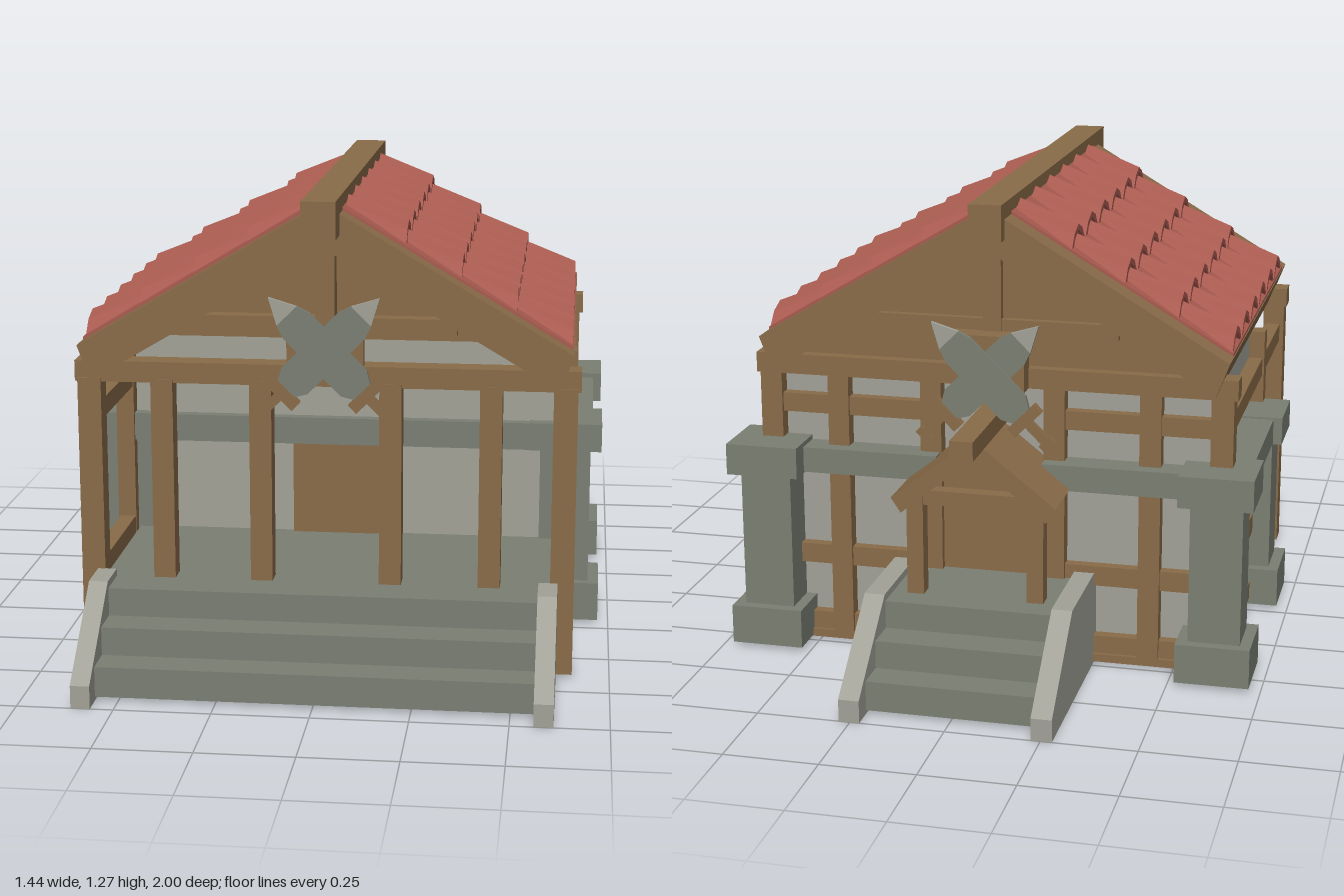
import * as THREE from 'three';

const mat = (name, color) => Object.assign(new THREE.MeshStandardMaterial({ color }), { name });
const wood = mat('wood', 0x8a6c49);
const stone = mat('stone', 0x7b7f73);
const plaster = mat('plaster', 0xa2a298);
const tileRed = mat('tileRed', 0xa95b50);

export function createModel() {
  const model = new THREE.Group();
  model.name = 'timberHall';

  const add = (name, geometry, material, parent = model) => {
    const mesh = new THREE.Mesh(geometry, material);
    mesh.name = name;
    parent.add(mesh);
    return mesh;
  };
  // Box given by its extents on each axis
  const box = (name, m, x0, x1, y0, y1, z0, z1, parent = model) => {
    const g = new THREE.BoxGeometry(x1 - x0, y1 - y0, z1 - z0);
    g.translate((x0 + x1) / 2, (y0 + y1) / 2, (z0 + z1) / 2);
    return add(name, g, m, parent);
  };
  // The same box on the left and on the right
  const pair = (name, m, x0, x1, ...rest) => {
    box(name + 'Left', m, x0, x1, ...rest);
    box(name + 'Right', m, -x1, -x0, ...rest);
  };
  const extrude = (pts, depth) => new THREE.ExtrudeGeometry(
    new THREE.Shape(pts.map(p => new THREE.Vector2(...p))), { depth, bevelEnabled: false });
  const prism = (name, m, pts, z0, z1, parent) => {
    const g = extrude(pts, z1 - z0);
    g.translate(0, 0, z0);
    return add(name, g, m, parent);
  };

  // Floors and foundations
  box('porchFloor', stone, -0.59, 0.59, 0.19, 0.24, 0.18, 0.66);
  box('porchFooting', stone, -0.6, 0.6, 0.008, 0.025, 0.13, 0.7);
  box('roomUnderside', wood, -0.6, 0.6, 0.008, 0.03, -0.49, 0.13);

  // Stairs with sloping side walls, front and back
  const stairs = (name, halfWidth, wall, start, dir) => {
    [[0.94, 0.09], [0.85, 0.165], [0.755, 0.24]].forEach(([z, y], i) => {
      const a = dir * start, b = dir * z;
      box(`${name}Step${i + 1}`, stone, -halfWidth, halfWidth, i ? y - 0.075 : 0.01, y, Math.min(a, b), Math.max(a, b));
    });
    const side = [[start, 0], [1, 0], [1, 0.06], [0.76, 0.26], [start, 0.26]].map(([z, y]) => [z * dir, y]);
    for (const x of [halfWidth + wall, -halfWidth]) {
      const g = extrude(side, wall);
      g.rotateY(-Math.PI / 2);
      g.translate(x, 0, 0);
      add(name + 'SideWall', g, plaster);
    }
  };
  stairs('frontStairs', 0.56, 0.05, 0.65, 1);
  stairs('backStairs', 0.225, 0.055, 0.45, -1);

  // Plastered room
  box('roomFrontWall', plaster, -0.6, 0.6, 0.02, 0.8, 0.15, 0.18);
  box('roomBackWall', plaster, -0.6, 0.6, 0.02, 0.8, -0.45, -0.42);
  pair('roomSideWall', plaster, 0.57, 0.6, 0.02, 0.79, -0.43, 0.17);
  const gable = [[-0.6, 0.8], [0.6, 0.8], [0, 1.15]];
  prism('innerGable', wood, gable, 0.15, 0.18);
  prism('backGable', wood, gable, -0.46, -0.42);
  box('frontDoor', wood, -0.145, 0.145, 0.24, 0.51, 0.175, 0.195);
  box('backDoor', wood, -0.145, 0.145, 0.24, 0.56, -0.47, -0.44);

  // Posts
  for (const x of [0.17, 0.43]) {
    pair('porchPost', wood, x - 0.029, x + 0.029, 0.2, 0.78, 0.59, 0.648);
    pair('backPost', wood, x - 0.029, x + 0.029, 0.02, 0.78, -0.49, -0.43);
  }
  pair('frontCornerPost', wood, 0.59, 0.652, 0.01, 0.78, 0.59, 0.652);
  pair('backCornerPost', wood, 0.59, 0.65, 0.01, 0.78, -0.49, -0.43);
  pair('middlePost', wood, 0.595, 0.645, 0.02, 0.79, 0.175, 0.225);

  // Tie beams and side rails
  box('frontTieBeam', wood, -0.66, 0.66, 0.77, 0.825, 0.58, 0.645);
  box('backTieBeam', wood, -0.66, 0.66, 0.77, 0.825, -0.49, -0.43);
  for (const [y0, y1] of [[0.03, 0.08], [0.225, 0.28], [0.66, 0.712]]) {
    pair('sideRail', wood, 0.597, 0.64, y0, y1, -0.48, 0.62);
    pair('backRail', wood, 0.145, 0.62, y0, y1, -0.48, -0.44);
  }

  // Gable trusses
  for (const z of [0.6, -0.48]) {
    box('collarBeam', wood, -0.34, 0.34, 0.91, 0.952, z, z + 0.04);
    box('kingPost', wood, -0.025, 0.025, 0.82, 1.16, z - 0.005, z + 0.045);
  }

  // Stone pillars joined by a belt course
  for (const [z0, z1, top] of [[0.02, 0.215, 0.58], [-0.59, -0.4, 0.588]]) {
    pair('pillarBase', stone, 0.52, 0.72, 0.012, 0.12, z0, z1);
    pair('pillarShaft', stone, 0.55, 0.69, 0.12, 0.505, z0 + 0.03, z1 - 0.025);
    pair('pillarCap', stone, 0.52, 0.72, 0.502, top, z0, z1);
  }
  pair('sideBelt', stone, 0.58, 0.695, 0.505, 0.575, -0.42, 0.05);
  box('frontBelt', stone, -0.58, 0.58, 0.502, 0.578, 0.12, 0.21);
  pair('backBelt', stone, 0.145, 0.58, 0.505, 0.575, -0.53, -0.43);

  // Roof slab, red underlay and ridge beam
  prism('roofSlab', wood, [[0, 1.255], [-0.64, 0.877], [-0.605, 0.785], [0, 1.142], [0.605, 0.785], [0.64, 0.877]], -0.52, 0.7);
  prism('roofUnderlay', tileRed, [[0, 1.263], [-0.638, 0.886], [-0.638, 0.878], [0, 1.25], [0.638, 0.878], [0.638, 0.886]], -0.445, 0.63);
  box('ridgeBeam', wood, -0.044, 0.044, 1.175, 1.272, -0.557, 0.788);

  // Arched tile: a bent strip, narrowing and sinking toward its upper end
  const arch = [[-0.088, 0], [-0.05, 0.042], [0, 0.06], [0.05, 0.042], [0.088, 0]];
  const inner = arch.map(([u, v]) => [u * 0.85, v - 0.016]).reverse();
  const tile = extrude([...arch, ...inner], 1);
  const p = tile.attributes.position;
  for (let i = 0; i < p.count; i++) {
    const u = p.getX(i), v = p.getY(i), f = p.getZ(i);
    p.setXYZ(i, -0.158 * f, v + (0.59 * 0.158 - 0.03) * f, u * (1 - 0.2 * f));
  }
  tile.computeVertexNormals();
  for (const s of [1, -1]) {
    for (let row = 0; row < 4; row++) {
      for (let col = 0; col < 6; col++) {
        const x = 0.635 - 0.143 * row;
        const t = add('roofTile', tile, tileRed);
        t.position.set(s * x, 1.255 - 0.59 * x, 0.527 - 0.177 * col);
        if (s < 0) t.rotation.y = Math.PI;
      }
    }
  }

  // Small canopy over the back door
  prism('canopyRoof', wood, [[0, 0.685], [-0.222, 0.51], [-0.195, 0.47], [0, 0.63], [0.195, 0.47], [0.222, 0.51]], -0.7, -0.46);
  box('canopyRidge', wood, -0.031, 0.031, 0.66, 0.712, -0.81, -0.45);
  pair('canopyPost', wood, 0.14, 0.185, 0.24, 0.53, -0.682, -0.638);
  box('canopyBeam', wood, -0.17, 0.17, 0.49, 0.53, -0.68, -0.64);

  // Crossed swords on each gable
  const swords = (name, y, z) => {
    const group = new THREE.Group();
    group.name = name;
    group.position.set(0, y, z);
    for (const s of [1, -1]) {
      const sword = new THREE.Group();
      sword.name = 'sword';
      sword.rotation.z = s * Math.PI / 4;
      sword.position.z = s * 0.007;
      prism('blade', stone, [[-0.03, -0.14], [0.03, -0.14], [0.048, -0.11], [0.048, 0.1], [0.036, 0.135], [-0.036, 0.135], [-0.048, 0.1], [-0.048, -0.11]], -0.006, 0.006, sword);
      prism('bladeTip', plaster, [[-0.036, 0.135], [0.036, 0.135], [0, 0.202]], -0.006, 0.006, sword);
      box('guard', wood, -0.05, 0.05, -0.17, -0.14, -0.013, 0.013, sword);
      box('grip', wood, -0.012, 0.012, -0.235, -0.17, -0.01, 0.01, sword);
      box('pommel', wood, -0.02, 0.02, -0.25, -0.23, -0.013, 0.013, sword);
      group.add(sword);
    }
    model.add(group);
  };
  swords('frontSwords', 0.865, 0.665);
  swords('backSwords', 0.815, -0.558);
  box('frontSwordMount', wood, -0.1, 0.1, 0.8, 0.92, 0.62, 0.65);
  box('backSwordMount', wood, -0.1, 0.1, 0.77, 0.92, -0.54, -0.48);

  return model;
}
